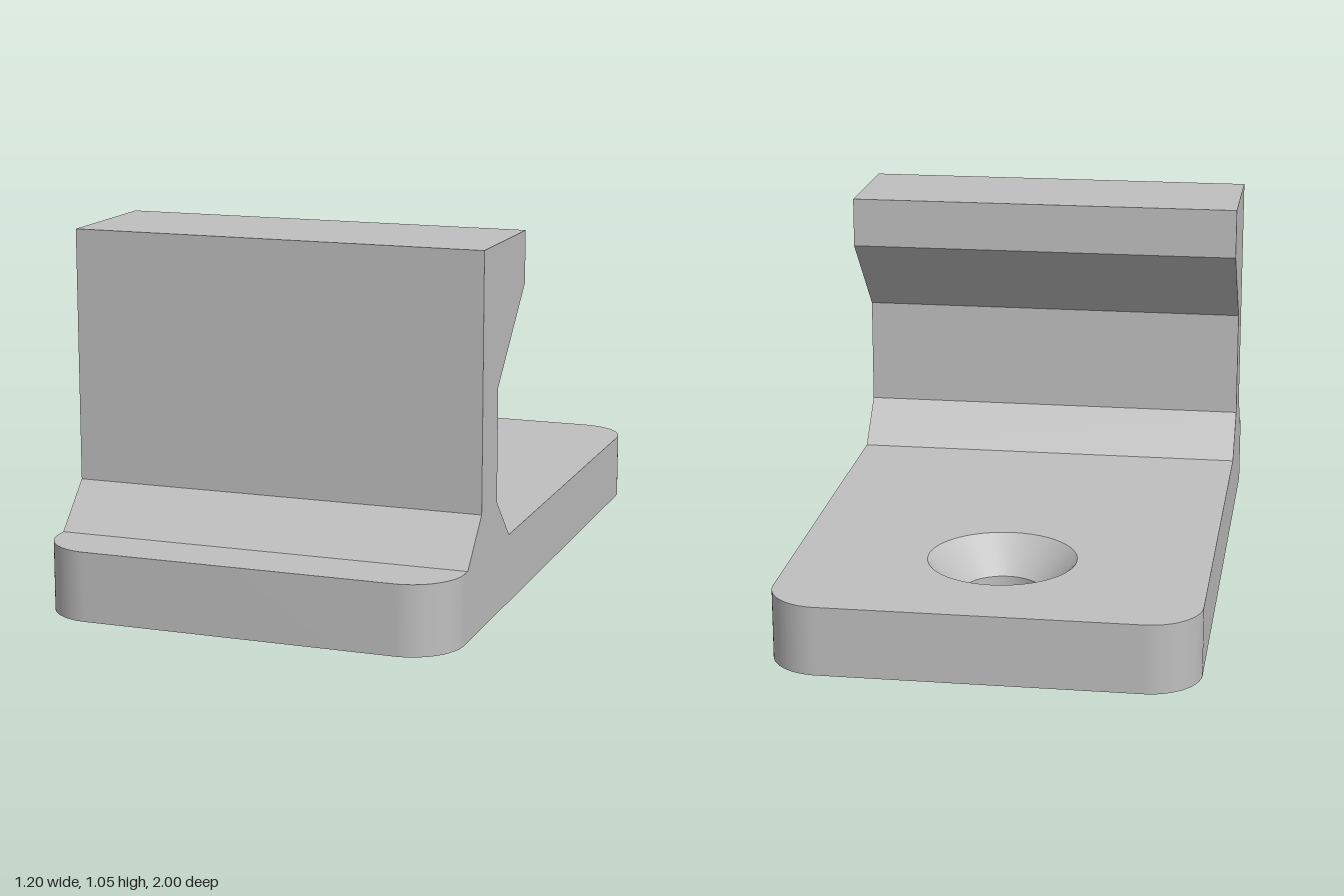
import * as THREE from 'three';
import { toCreasedNormals } from 'three/addons/utils/BufferGeometryUtils.js';

const W = 0.6, L = 1, T = 0.2;        // plate half width, half length, thickness
const CORNER = 0.15;
const HOLE_Z = -0.55, HOLE_R = 0.115, SINK_R = 0.215, SINK_Y = 0.1;

// Rounded plate outline; shape y becomes -z once laid flat
function outline() {
  const s = new THREE.Shape();
  const x = W - CORNER, y = L - CORNER, q = Math.PI / 2;
  s.absarc(x, y, CORNER, 0, q);
  s.absarc(-x, y, CORNER, q, 2 * q);
  s.absarc(-x, -y, CORNER, 2 * q, 3 * q);
  s.absarc(x, -y, CORNER, 3 * q, 4 * q);
  s.closePath();
  return s;
}

// Flat plate face with a round hole
function plateFace(radius) {
  const s = outline();
  s.holes.push(new THREE.Path().absarc(0, -HOLE_Z, radius, 0, Math.PI * 2, true));
  return new THREE.ShapeGeometry(s, 24);
}

// Only the side walls of the extruded outline
function plateWalls() {
  const g = new THREE.ExtrudeGeometry(outline(), { depth: T, bevelEnabled: false, curveSegments: 24 });
  const { start, count } = g.groups[1];
  const walls = new THREE.BufferGeometry();
  const p = g.attributes.position.array.slice(start * 3, (start + count) * 3);
  walls.setAttribute('position', new THREE.BufferAttribute(p, 3));
  return toCreasedNormals(walls.rotateX(-Math.PI / 2), 0.5);
}

export function createModel() {
  const model = new THREE.Group();
  model.name = 'hookBracket';
  const grey = new THREE.MeshStandardMaterial({ color: 0xbfbfbf });
  grey.name = 'grey';

  const add = (parent, name, geometry) => {
    const mesh = new THREE.Mesh(geometry, grey);
    mesh.name = name;
    parent.add(mesh);
    return mesh;
  };

  // Base plate with countersunk screw hole
  const plate = new THREE.Group();
  plate.name = 'basePlate';
  model.add(plate);
  add(plate, 'plateTop', plateFace(SINK_R).rotateX(-Math.PI / 2).translate(0, T, 0));
  // Turned over, so mirrored in z to keep the hole at the back
  add(plate, 'plateBottom', plateFace(HOLE_R).translate(0, HOLE_Z * 2, 0).rotateX(Math.PI / 2)
    .translate(0, 0, 0)).position.z = 0;
  const bottom = plate.getObjectByName('plateBottom');
  bottom.geometry = plateFace(HOLE_R).rotateZ(Math.PI).rotateX(Math.PI / 2);
  add(plate, 'plateWalls', plateWalls());

  const bore = [[SINK_R, T], [HOLE_R, SINK_Y], [HOLE_R, 0]].map(p => new THREE.Vector2(...p));
  add(plate, 'screwHole', toCreasedNormals(new THREE.LatheGeometry(bore, 48), 0.5))
    .position.z = HOLE_Z;

  // Upright hook with chamfered foot and overhanging lip, profile in (z, y)
  const profile = [
    [0.825, T], [0.7, 0.325], [0.7, 1.05], [0.3, 1.05],
    [0.3, 0.9], [0.555, 0.65], [0.555, 0.325], [0.43, T],
  ].map(p => new THREE.Vector2(...p));
  const hook = new THREE.ExtrudeGeometry(new THREE.Shape(profile), { depth: 2 * W, bevelEnabled: false });
  add(model, 'hook', hook.translate(0, 0, -W).rotateY(-Math.PI / 2));

  return model;
}
